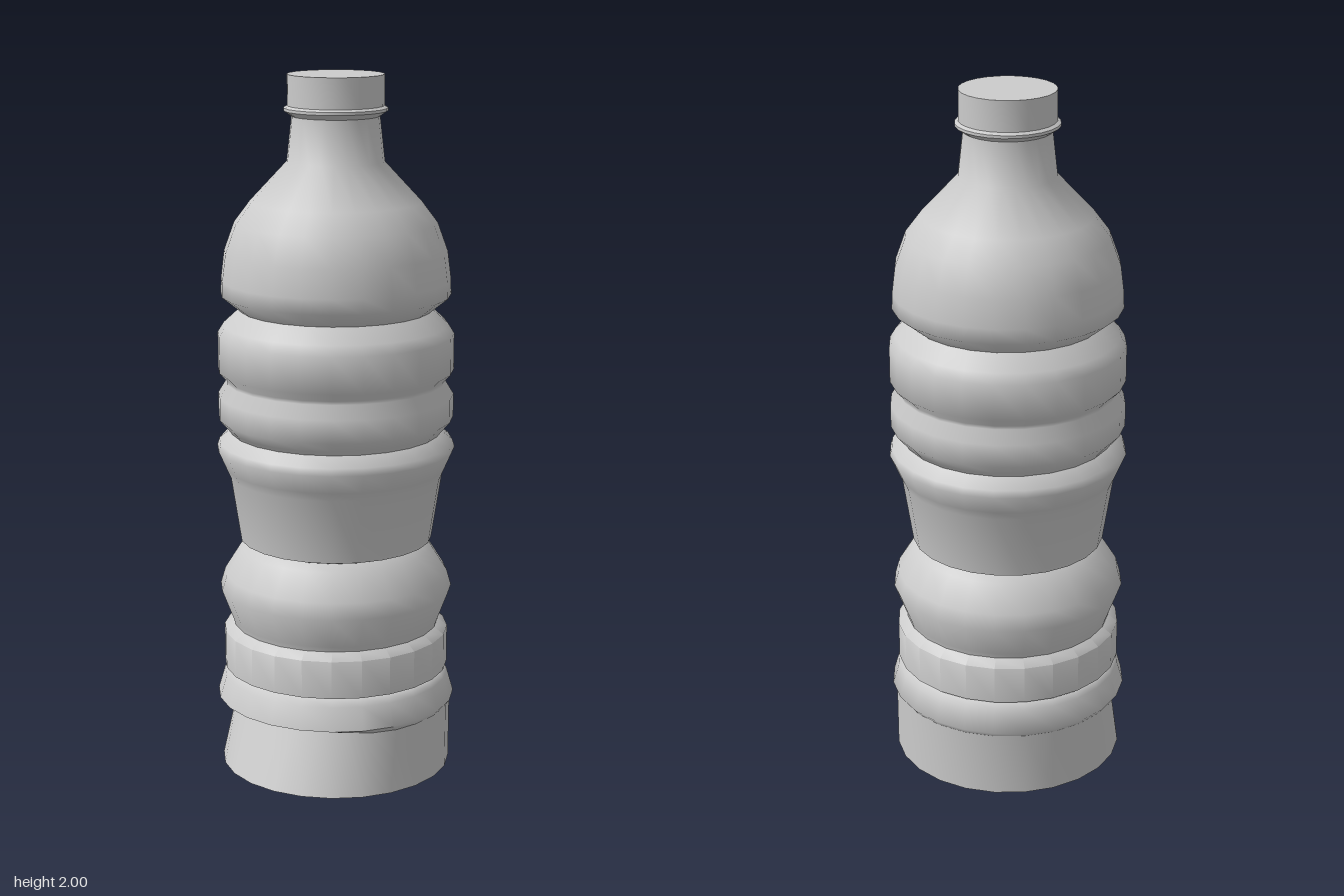
import * as THREE from 'three';
import { toCreasedNormals } from 'three/addons/utils/BufferGeometryUtils.js';

const SIDES = 24;
const SEAM = 0.19; // height where the base meets the body

export function createModel() {
  const bottle = new THREE.Group();
  bottle.name = 'bottle';
  const material = new THREE.MeshStandardMaterial({ color: 0xcccccc });

  // Revolve a [radius, height] profile, listed from bottom to top
  function turned(name, profile, crease = 0.95) {
    const points = profile.map(([r, y]) => new THREE.Vector2(r, y));
    const geometry = new THREE.LatheGeometry(points, SIDES);
    // The front half of the seam ring is pushed back and slightly down
    const pos = geometry.attributes.position;
    for (let i = 0; i < pos.count; i++) {
      const z = pos.getZ(i);
      if (Math.abs(pos.getY(i) - SEAM) < 1e-4 && z > 0) {
        pos.setZ(i, z * 0.75);
        pos.setY(i, SEAM - 0.036 * z);
      }
    }
    const mesh = new THREE.Mesh(toCreasedNormals(geometry, crease), material);
    mesh.name = name;
    bottle.add(mesh);
  }

  turned('base', [[0, 0], [0.333, 0], [0.334, SEAM]]);

  turned('lowerRing', [
    [0.334, SEAM], [0.345, 0.205], [0.326, 0.27], [0.312, 0.288], [0.25, 0.292],
  ]);

  turned('lowerBody', [
    [0.25, 0.292], [0.325, 0.296], [0.325, 0.405], [0.297, 0.425],
    [0.301, 0.44], [0.335, 0.53], [0.322, 0.575], [0.275, 0.65], [0.25, 0.668],
  ]);

  turned('waist', [
    [0.25, 0.668], [0.276, 0.677], [0.305, 0.865], [0.316, 0.89],
    [0.34, 0.945], [0.334, 0.965], [0.3, 0.993],
  ]);

  turned('upperRibs', [
    [0.3, 0.993], [0.309, 1.005], [0.335, 1.035], [0.335, 1.1],
    [0.312, 1.138], [0.312, 1.148], [0.335, 1.172], [0.335, 1.275],
    [0.318, 1.303], [0.272, 1.345],
  ]);

  turned('shoulder', [
    [0.272, 1.345], [0.325, 1.388], [0.324, 1.43], [0.314, 1.51],
    [0.285, 1.59], [0.24, 1.65], [0.137, 1.76], [0.123, 1.885],
  ]);

  turned('neckRing', [
    [0.123, 1.885], [0.145, 1.9], [0.145, 1.908], [0.135, 1.914],
  ], 0.5);

  turned('cap', [[0.135, 1.914], [0.135, 2], [0, 2]]);

  return bottle;
}
